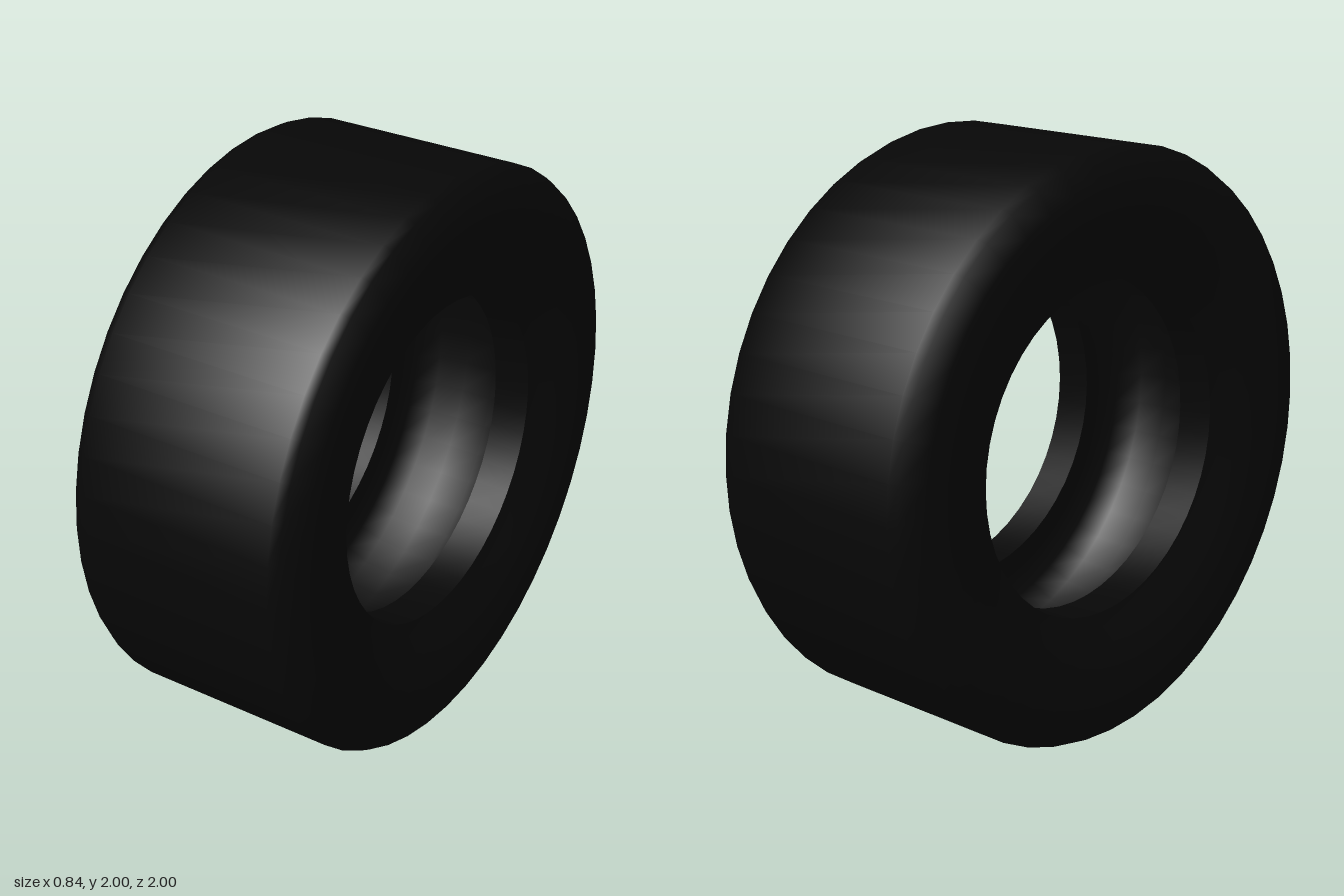
import * as THREE from 'three';
import { toCreasedNormals } from 'three/addons/utils/BufferGeometryUtils.js';

const SEGMENTS = 48;

export function createModel() {
  const rubber = new THREE.MeshStandardMaterial({ color: 0x070707 });
  rubber.name = 'black rubber';

  // Half cross-section [radius, offset along axle], from tread to inner liner
  const half = [
    [1.0, 0.355], [0.985, 0.385], [0.9, 0.418], [0.84, 0.42], // tread shoulder
    [0.74, 0.415], [0.66, 0.39], [0.61, 0.36],                // dished sidewall
    [0.565, 0.345], [0.565, 0.215],                           // bead seat
    [0.66, 0.235], [0.75, 0.225], [0.81, 0.16], [0.83, 0.06], // rounded hollow inside
  ];

  // Closed loop: the half and its mirror, joined back at the first point
  const mirrored = half.map(([r, a]) => [r, -a]).reverse();
  const loop = [...half, ...mirrored, half[0]];
  const points = loop.map(([r, a]) => new THREE.Vector2(r, a));

  // Spin around the axle, keeping only the bead edges sharp
  const lathe = new THREE.LatheGeometry(points, SEGMENTS);
  lathe.rotateZ(-Math.PI / 2);
  const tyre = new THREE.Mesh(toCreasedNormals(lathe, 0.85), rubber);
  tyre.name = 'tyre';
  tyre.position.y = 1;

  const model = new THREE.Group();
  model.name = 'wheelTyre';
  model.add(tyre);
  return model;
}
